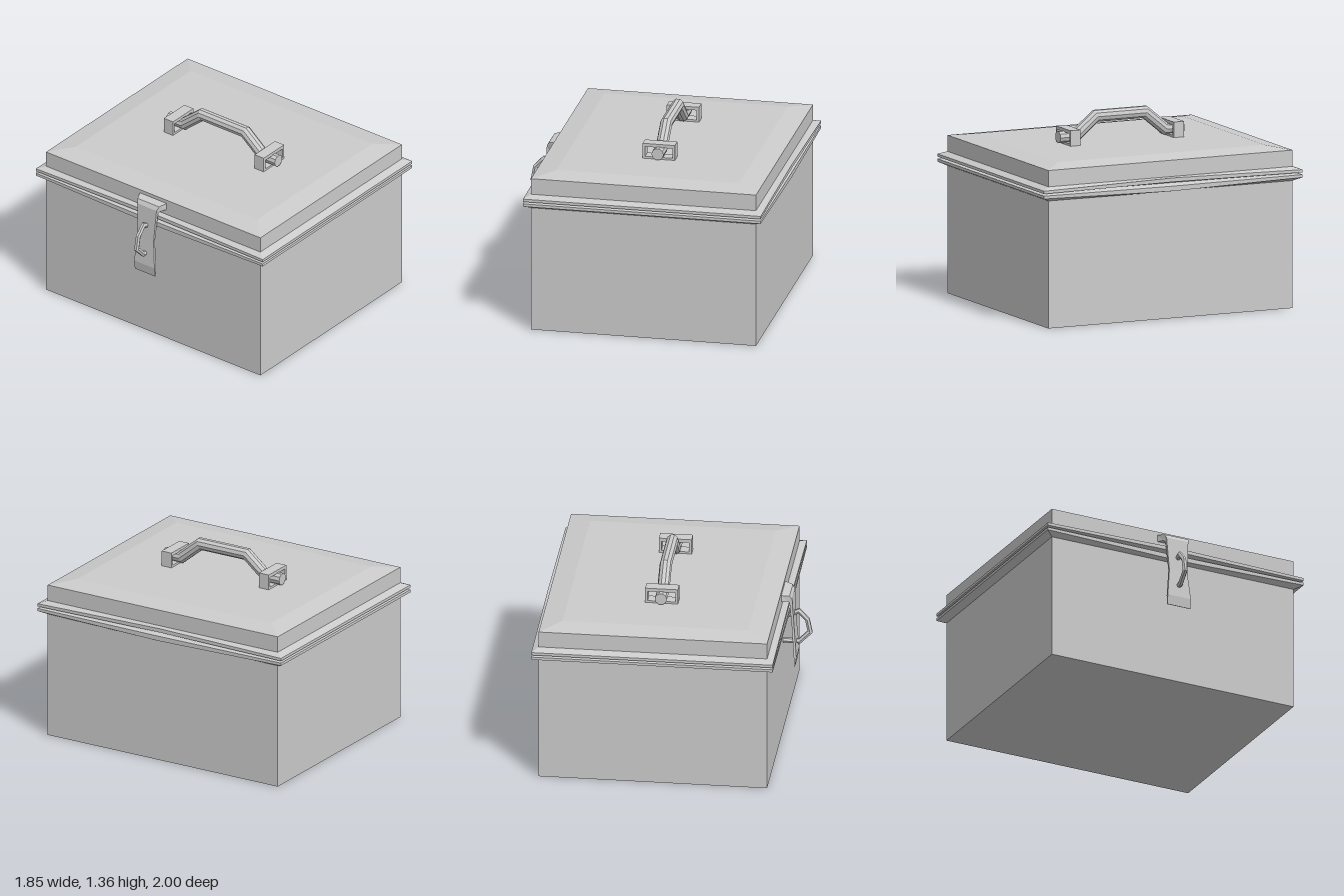
import * as THREE from 'three';

const CX = 0.08; // the case sits slightly off centre because the latch sticks out
const material = new THREE.MeshStandardMaterial({ color: 0xcccccc, flatShading: true });

function addMesh(parent, name, geometry) {
  const mesh = new THREE.Mesh(geometry, material);
  mesh.name = name;
  parent.add(mesh);
  return mesh;
}

// Skin a series of equal-length loops, cap both ends, and face everything outward
function loft(loops) {
  const tris = [];
  const n = loops[0].length;
  for (let i = 0; i + 1 < loops.length; i++) {
    for (let j = 0; j < n; j++) {
      const k = (j + 1) % n;
      const a = loops[i][j], b = loops[i][k], c = loops[i + 1][k], d = loops[i + 1][j];
      tris.push([a, b, c], [a, c, d]);
    }
  }
  const first = loops[0], last = loops[loops.length - 1];
  for (let j = 1; j + 1 < n; j++) {
    tris.push([first[0], first[j + 1], first[j]], [last[0], last[j], last[j + 1]]);
  }
  let volume = 0;
  for (const [a, b, c] of tris) volume += a.dot(b.clone().cross(c));
  const points = tris.flatMap(([a, b, c]) => (volume < 0 ? [a, c, b] : [a, b, c]));
  const geometry = new THREE.BufferGeometry().setFromPoints(points);
  geometry.computeVertexNormals();
  return geometry;
}

// Rectangle at height y; the middles of the long sides may sit at another height
function rectLoop([hx, hz, y, yMid = y]) {
  return [[hx, y, hz], [hx, yMid, 0], [hx, y, -hz], [-hx, y, -hz], [-hx, yMid, 0], [-hx, y, hz]]
    .map(([px, py, pz]) => new THREE.Vector3(CX + px, py, pz));
}

// Mitred rod along a flat path of [x, y] points, in the XY plane
function rod(path, radius, sides) {
  const pts = path.map(([x, y]) => new THREE.Vector2(x, y));
  const dirs = pts.slice(1).map((p, i) => p.clone().sub(pts[i]).normalize());
  return loft(pts.map((p, i) => {
    const before = dirs[Math.max(i - 1, 0)], after = dirs[Math.min(i, dirs.length - 1)];
    const t = before.clone().add(after).normalize();
    const r = radius / t.dot(after);
    return Array.from({ length: sides }, (_, j) => {
      const a = ((j + 0.5) / sides) * Math.PI * 2;
      const u = Math.cos(a) * r;
      return new THREE.Vector3(p.x - t.y * u, p.y + t.x * u, Math.sin(a) * radius);
    });
  }));
}

export function createModel() {
  const model = new THREE.Group();
  model.name = 'latchedCase';

  // Lower box with its flared rim
  addMesh(model, 'body', loft([
    [0.8, 0.945, 0],
    [0.8, 0.945, 0.9],
    [0.845, 1, 0.925, 0.905],
    [0.845, 1, 0.945, 0.94],
    [0.8, 0.945, 0.957],
  ].map(rectLoop)));

  // Lid with matching rim and shallow bevelled top
  addMesh(model, 'lid', loft([
    [0.8, 0.945, 0.957],
    [0.845, 1, 0.96, 0.97],
    [0.845, 1, 0.98, 0.998],
    [0.8, 0.945, 1.0],
    [0.8, 0.945, 1.115],
    [0.65, 0.8, 1.14],
  ].map(rectLoop)));

  // Carrying handle
  const handle = new THREE.Group();
  handle.name = 'handle';
  handle.position.x = CX;
  model.add(handle);
  const grip = addMesh(handle, 'grip', rod([
    [-0.48, 1.19], [-0.345, 1.19], [-0.19, 1.318], [0.19, 1.318], [0.345, 1.19], [0.48, 1.19],
  ], 0.043, 10));
  grip.rotation.y = Math.PI / 2;

  // Square brackets holding the grip
  const frame = new THREE.Shape([[-0.115, 1.135], [0.115, 1.135], [0.115, 1.25], [-0.115, 1.25]]
    .map(([x, y]) => new THREE.Vector2(x, y)));
  frame.holes.push(new THREE.Path([[-0.097, 1.155], [-0.097, 1.226], [0.097, 1.226], [0.097, 1.155]]
    .map(([x, y]) => new THREE.Vector2(x, y))));
  const frameGeometry = new THREE.ExtrudeGeometry(frame, { depth: 0.08, bevelEnabled: false });
  for (const z of [-0.4, 0.4]) {
    addMesh(handle, z > 0 ? 'frontBracket' : 'backBracket', frameGeometry).position.z = z - 0.04;
  }

  // Latch strap: outer x, y, inner x, y, half width
  const latch = new THREE.Group();
  latch.name = 'latch';
  model.add(latch);
  addMesh(latch, 'strap', loft([
    [-0.715, 1.09, -0.715, 1.04, 0.12],
    [-0.775, 1.078, -0.765, 1.035, 0.095],
    [-0.792, 1.05, -0.774, 1.02, 0.085],
    [-0.806, 0.8, -0.79, 0.8, 0.07],
    [-0.822, 0.6, -0.804, 0.6, 0.09],
    [-0.812, 0.53, -0.808, 0.53, 0.09],
  ].map(([ox, oy, ix, iy, w]) => [
    new THREE.Vector3(ox, oy, w), new THREE.Vector3(ox, oy, -w),
    new THREE.Vector3(ix, iy, -w), new THREE.Vector3(ix, iy, w),
  ])));

  // Staple on the body that passes through the strap
  addMesh(latch, 'staple', rod([
    [-0.7, 0.86], [-0.83, 0.922], [-0.889, 0.86], [-0.908, 0.765], [-0.835, 0.69], [-0.7, 0.69],
  ], 0.018, 6));

  return model;
}
